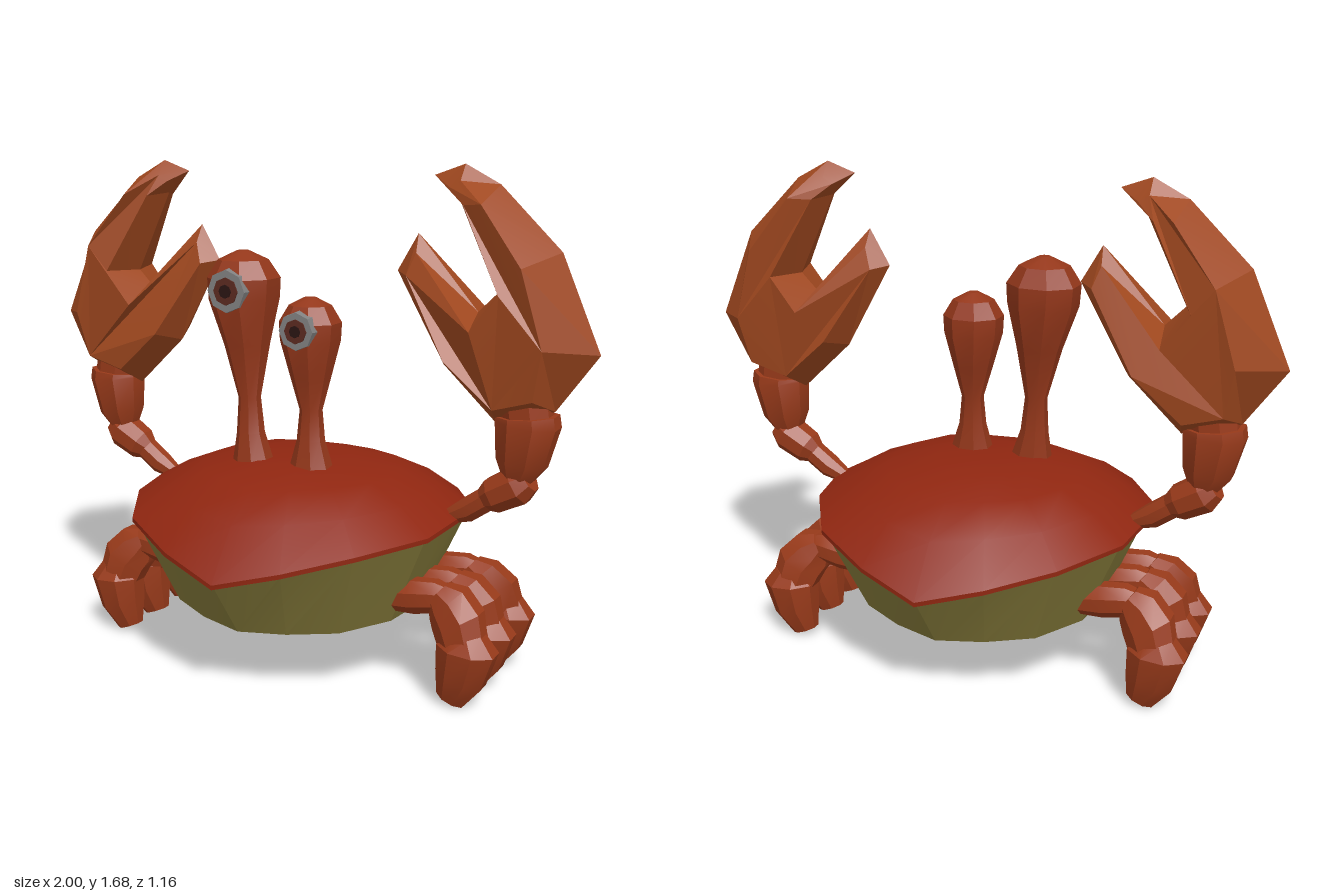
import * as THREE from 'three';
import { toCreasedNormals } from 'three/addons/utils/BufferGeometryUtils.js';

const mat = (color) => new THREE.MeshStandardMaterial({ color });
const shellMat = mat(0x8f2610), clawMat = mat(0xa0481f), legMat = mat(0x983a1a), stalkMat = mat(0x94371a);
const bellyMat = mat(0x857a3a), scleraMat = mat(0x808080), irisMat = mat(0x5a2a20), pupilMat = mat(0x2a1412);
const V = (x, y, z) => new THREE.Vector3(x, y, z);

function named(name, geo, material) {
  const mesh = new THREE.Mesh(geo, material);
  mesh.name = name;
  return mesh;
}

// Skin over rings that run counter-clockwise about the direction of travel.
// capFaces: triangles for both ends; without them each end closes to its centre.
function loft(rings, crease, capFaces) {
  const pos = [];
  const tri = (...p) => p.forEach((v) => pos.push(v.x, v.y, v.z));
  const n = rings[0].length;
  for (let i = 0; i < rings.length - 1; i++) {
    for (let j = 0; j < n; j++) {
      const k = (j + 1) % n, A = rings[i], B = rings[i + 1];
      tri(A[j], A[k], B[k]);
      tri(A[j], B[k], B[j]);
    }
  }
  const first = rings[0], last = rings[rings.length - 1];
  if (capFaces) {
    for (const [a, b, c] of capFaces) {
      tri(last[a], last[b], last[c]);
      tri(first[a], first[c], first[b]);
    }
  } else {
    const mid = (r) => r.reduce((s, v) => s.add(v), V(0, 0, 0)).divideScalar(n);
    const m0 = mid(first), m1 = mid(last);
    for (let j = 0; j < n; j++) {
      const k = (j + 1) % n;
      tri(m0, first[k], first[j]);
      tri(m1, last[j], last[k]);
    }
  }
  const geo = new THREE.BufferGeometry();
  geo.setAttribute('position', new THREE.Float32BufferAttribute(pos, 3));
  return toCreasedNormals(geo, crease);
}

// Eight-sided limb along a path of [x, y, z, radius in the xy plane, radius in z].
function limb(path, side = 1) {
  const pts = path.map(([x, y, z, r, rz = r]) => ({ c: V(x * side, y, z), r, rz }));
  const rings = pts.map(({ c, r, rz }, i) => {
    const a = pts[Math.max(i - 1, 0)].c, b = pts[Math.min(i + 1, pts.length - 1)].c;
    const t = V(b.x - a.x, b.y - a.y, 0).normalize();
    return Array.from({ length: 8 }, (_, j) => {
      const ang = ((j + 0.5) / 8) * Math.PI * 2, u = Math.cos(ang) * r;
      return V(c.x - t.y * u, c.y + t.x * u, c.z + Math.sin(ang) * rz);
    });
  });
  return loft(rings, 0.4);
}

// Sixteen-point body rim, one quarter mirrored twice, dipping at front and back.
const quarter = [[0, 0.43, 0.58], [0.21, 0.485, 0.525], [0.41, 0.54, 0.42], [0.55, 0.555, 0.19], [0.575, 0.57, 0]];
const back = quarter.slice(0, 4).reverse().map(([x, y, z]) => [x, y, -z]);
const half = [...quarter, ...back];
const rim = [...half, ...half.slice(1, -1).reverse().map(([x, y, z]) => [-x, y, z])];
// keep: how much of the rim's dip the ring follows
const bodyRing = (scale, y, keep) => rim.map((p) => V(p[0] * scale, y + (p[1] - 0.55) * keep, p[2] * scale));

function makeClaw(side) {
  // [outline x, y, face x, y, half thickness of the face]
  const points = [
    [-1, 1.14, -0.86, 1.16, 0.135], [-0.87, 1.44, -0.79, 1.4, 0.145], [-0.67, 1.635, -0.65, 1.58, 0.115],
    [-0.555, 1.695, -0.555, 1.645, 0.04], [-0.455, 1.66, -0.52, 1.625, 0.04], [-0.54, 1.585, -0.58, 1.575, 0.08],
    [-0.675, 1.31, -0.72, 1.315, 0.135], [-0.61, 1.245, -0.63, 1.2, 0.135], [-0.405, 1.48, -0.41, 1.42, 0.03],
    [-0.335, 1.36, -0.385, 1.35, 0.05], [-0.5, 1.07, -0.54, 1.1, 0.11], [-0.68, 0.9, -0.7, 0.96, 0.1],
    [-0.87, 0.955, -0.83, 1.0, 0.11],
  ];
  if (side < 0) points.reverse();
  const z0 = -0.025;
  const ring = (d) => points.map(([ox, oy, ix, iy, h]) =>
    d === 0 ? V(-ox * side, oy, z0) : V(-ix * side, iy, z0 + d * h));
  const face = points.map((p) => new THREE.Vector2(-p[2] * side, p[3]));
  return loft([ring(-1), ring(0), ring(1)], 0.2, THREE.ShapeUtils.triangulateShape(face, []));
}

function makeArm(side) {
  const arm = new THREE.Group();
  arm.name = side > 0 ? 'leftArm' : 'rightArm';
  arm.add(
    named('upperArm', limb([[0.52, 0.565, -0.02, 0.022], [0.6, 0.605, -0.02, 0.042], [0.67, 0.655, -0.02, 0.042]], side), legMat),
    named('elbow', limb([[0.64, 0.64, -0.02, 0.03], [0.685, 0.665, -0.02, 0.06], [0.765, 0.71, -0.02, 0.066],
      [0.8, 0.735, -0.02, 0.045]], side), legMat),
    named('forearm', limb([[0.757, 0.72, -0.02, 0.045], [0.772, 0.785, -0.02, 0.084, 0.076],
      [0.787, 0.91, -0.02, 0.105, 0.092], [0.785, 0.935, -0.02, 0.1, 0.088]], side), legMat),
    named('wrist', limb([[0.785, 0.915, -0.02, 0.085, 0.075], [0.775, 0.98, -0.02, 0.085, 0.075]], side), legMat),
    named('claw', makeClaw(side), clawMat),
  );
  return arm;
}

function makeLeg(side, zHip, zFoot, name) {
  const leg = new THREE.Group();
  leg.name = (side > 0 ? 'left' : 'right') + name;
  const zKnee = (zHip + zFoot) / 2;
  leg.add(
    named('hip', limb([[0.4, 0.325, zHip, 0.05], [0.48, 0.338, zHip, 0.06], [0.56, 0.35, zHip, 0.055],
      [0.62, 0.35, zHip, 0.035]], side), legMat),
    named('thigh', limb([[0.565, 0.365, zHip, 0.045, 0.052], [0.6, 0.335, zHip, 0.082, 0.074],
      [0.64, 0.29, zKnee, 0.092, 0.076], [0.67, 0.2, zFoot, 0.08, 0.064]], side), legMat),
    named('shin', limb([[0.67, 0.25, zFoot, 0.065, 0.055], [0.68, 0.21, zFoot, 0.102, 0.08],
      [0.66, 0.11, zFoot, 0.085, 0.071], [0.628, 0.027, zFoot, 0.05, 0.036]], side), legMat),
  );
  return leg;
}

// Eyestalk with a stepped eye on its front.
function makeEye(name, path, ex, ey, ez, r) {
  const eye = new THREE.Group();
  eye.name = name;
  eye.add(named('stalk', limb(path), stalkMat));
  const disc = (part, radius, z, material) => {
    const geo = new THREE.CylinderGeometry(radius * 0.9, radius, 0.05, 8).rotateX(Math.PI / 2);
    const mesh = named(part, toCreasedNormals(geo, 0.3), material);
    mesh.position.set(ex, ey, z - 0.025);
    eye.add(mesh);
  };
  disc('eyeWhite', r, ez, scleraMat);
  disc('iris', r * 0.65, ez + 0.004, irisMat);
  disc('pupil', r * 0.32, ez + 0.008, pupilMat);
  return eye;
}

export function createModel() {
  const crab = new THREE.Group();
  crab.name = 'crab';

  // Domed shell with a thin overhanging lip, and the belly below it
  crab.add(
    named('shell', loft([bodyRing(0.96, 0.535, 1), bodyRing(1, 0.54, 1), bodyRing(1, 0.555, 1),
      bodyRing(0.8, 0.632, 0.35), bodyRing(0.58, 0.688, 0.1), bodyRing(0.3, 0.717, 0)], 0.6), shellMat),
    named('belly', loft([bodyRing(0.42, 0.18, 0), bodyRing(0.74, 0.24, 0.1), bodyRing(0.98, 0.545, 1)], 0.25), bellyMat),
  );

  // Eyestalks of unequal height
  crab.add(
    makeEye('rightEye', [[-0.13, 0.69, 0.105, 0.075, 0.066], [-0.142, 0.8, 0.1, 0.048], [-0.148, 0.92, 0.095, 0.038],
      [-0.16, 1.1, 0.088, 0.078], [-0.173, 1.25, 0.083, 0.12], [-0.174, 1.32, 0.083, 0.125, 0.118],
      [-0.175, 1.38, 0.083, 0.085], [-0.175, 1.41, 0.083, 0.02]], -0.175, 1.285, 0.195, 0.078),
    makeEye('leftEye', [[0.09, 0.69, 0.1, 0.08, 0.066], [0.086, 0.8, 0.095, 0.047], [0.084, 0.9, 0.09, 0.038],
      [0.08, 1.01, 0.085, 0.068], [0.077, 1.13, 0.083, 0.1], [0.077, 1.19, 0.083, 0.104, 0.098],
      [0.077, 1.245, 0.083, 0.07], [0.077, 1.27, 0.083, 0.02]], 0.075, 1.17, 0.18, 0.068),
  );

  // Arms with claws, and three legs on each side
  for (const side of [-1, 1]) {
    crab.add(makeArm(side));
    crab.add(makeLeg(side, 0.125, 0.16, 'FrontLeg'));
    crab.add(makeLeg(side, 0, -0.005, 'MiddleLeg'));
    crab.add(makeLeg(side, -0.15, -0.195, 'BackLeg'));
  }
  return crab;
}
